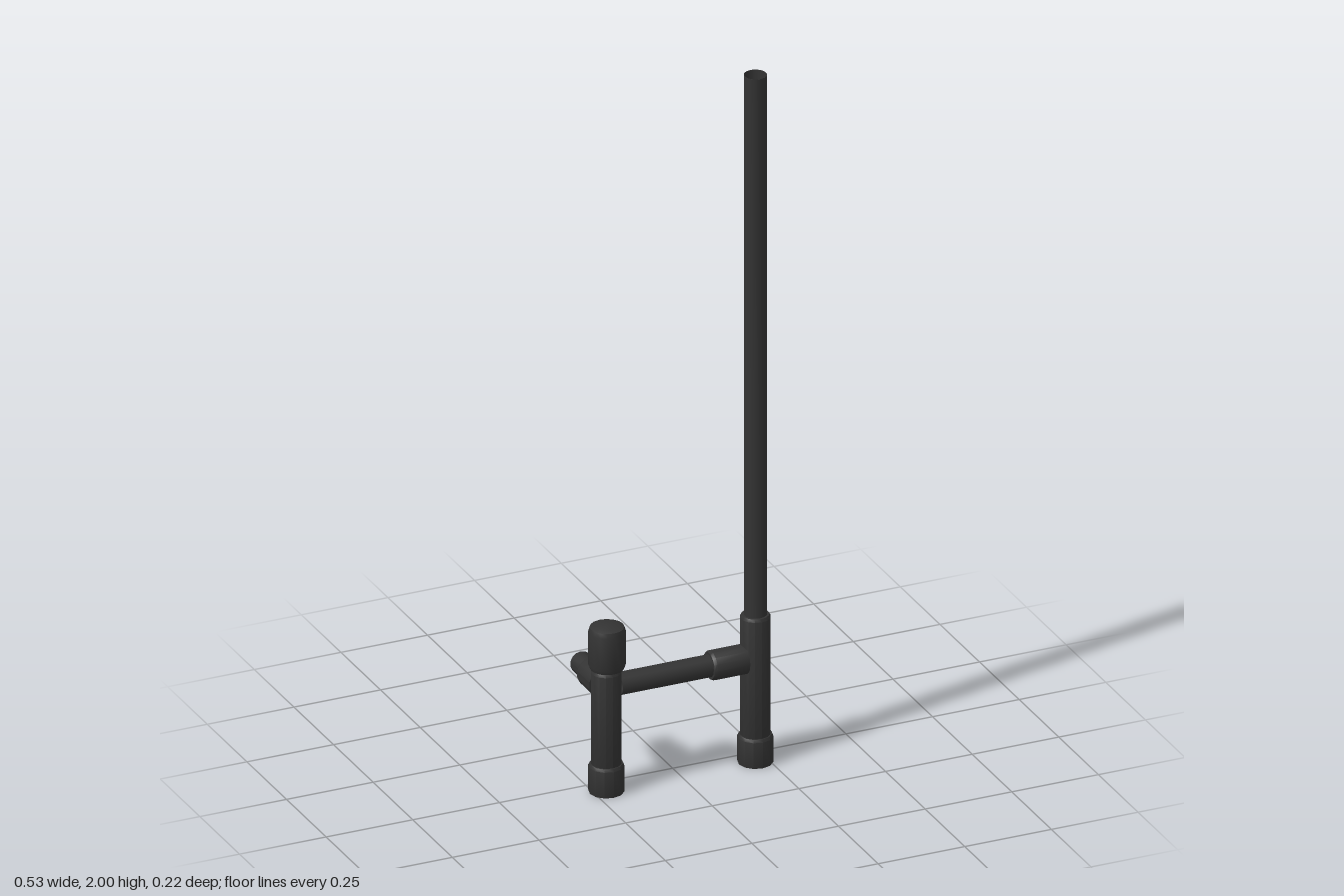
import * as THREE from 'three';
import { toCreasedNormals } from 'three/addons/utils/BufferGeometryUtils.js';

const PIPE = 0.031; // pipe radius
const TEE = 0.041;  // fitting radius
const LEFT_X = 0.215, Z = 0.052, JOINT_Y = 0.305;

export function createModel() {
  const model = new THREE.Group();
  const darkPlastic = new THREE.MeshStandardMaterial({ color: 0x333333, side: THREE.DoubleSide });
  darkPlastic.name = 'darkPlastic';

  // Turned part from [radius, height] points
  function turned(name, parent, profile, sides = 14) {
    const points = profile.map(([r, y]) => new THREE.Vector2(r, y));
    const geometry = toCreasedNormals(new THREE.LatheGeometry(points, sides), 0.6);
    const mesh = new THREE.Mesh(geometry, darkPlastic);
    mesh.name = name;
    parent.add(mesh);
    return mesh;
  }

  // Hollow sleeve with chamfered ends around a pipe
  function sleeve(name, parent, r, y0, y1, c0, c1, sides) {
    return turned(name, parent, [
      [PIPE, y0], [r - c0, y0], [r, y0 + 2 * c0], [r, y1 - 2 * c1],
      [r - c1, y1], [PIPE, y1], [PIPE, y0],
    ], sides);
  }

  // Thin open pipe
  function pipe(name, parent, y0, y1) {
    return turned(name, parent, [
      [PIPE, y0], [PIPE, y1], [PIPE - 0.001, y1], [PIPE - 0.001, y0], [PIPE, y0],
    ]);
  }

  // Upright post: foot ring and tee fitting
  function post(name, x, teeTop) {
    const group = new THREE.Group();
    group.name = name;
    group.position.set(x, 0, Z);
    sleeve('foot', group, 0.048, 0, 0.083, 0.001, 0.004, 12);
    sleeve('teeBody', group, TEE, 0.07, teeTop, 0.001, 0.004);
    model.add(group);
    return group;
  }

  // Tall post
  const tall = post('tallPost', LEFT_X, 0.43);
  pipe('tallPipe', tall, 0.4, 2);

  // Short post with a rounded cap on a neck
  const short = post('shortPost', -LEFT_X, 0.355);
  turned('neck', short, [[PIPE, 0.34], [PIPE, 0.37]]);
  turned('endCap', short, [
    [0, 0.36], [0.045, 0.36], [0.05, 0.372], [0.05, 0.467],
    [0.046, 0.48], [0.03, 0.486], [0, 0.488],
  ], 16).position.z = 0.004;

  // Cross pipe and its branch socket, running toward -x from the tall post
  const cross = new THREE.Group();
  cross.name = 'crossArm';
  cross.position.set(LEFT_X, JOINT_Y, Z);
  cross.rotation.z = Math.PI / 2;
  sleeve('crossSocket', cross, TEE, 0.033, 0.134, 0, 0.004);
  pipe('crossPipe', cross, 0.1, 0.396);
  model.add(cross);

  // Rear stub pipe and its branch socket, running toward -z from the short post
  const rear = new THREE.Group();
  rear.name = 'rearArm';
  rear.position.set(-LEFT_X, JOINT_Y, Z);
  rear.rotation.x = -Math.PI / 2;
  sleeve('rearSocket', rear, TEE, 0.02, 0.105, 0, 0.004);
  pipe('rearPipe', rear, 0.06, 0.161);
  model.add(rear);

  return model;
}
